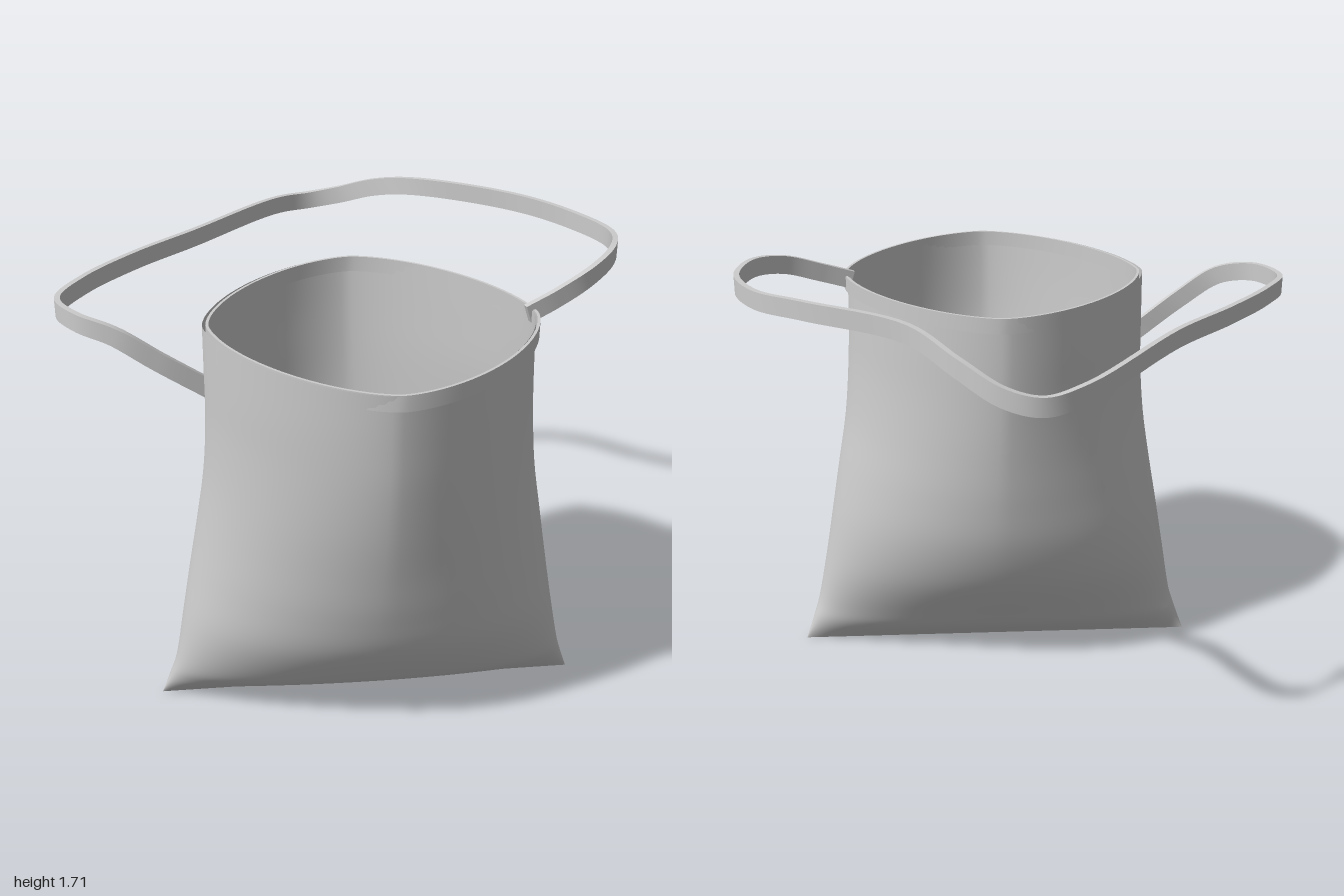
import * as THREE from 'three';
import { toCreasedNormals } from 'three/addons/utils/BufferGeometryUtils.js';

// Skin a list of closed cross-sections (arrays of Vector3, equal length)
function loft(rings, capped = false) {
  const n = rings[0].length;
  const index = [];
  for (let i = 0; i < rings.length - 1; i++) {
    for (let j = 0; j < n; j++) {
      const a = i * n + j, b = i * n + (j + 1) % n;
      index.push(a, a + n, b, b, a + n, b + n);
    }
  }
  if (capped) {
    const e = (rings.length - 1) * n;
    for (let j = 1; j < n - 1; j++) index.push(0, j, j + 1, e, e + j + 1, e + j);
  }
  const g = new THREE.BufferGeometry();
  g.setAttribute('position', new THREE.Float32BufferAttribute(
    rings.flat().flatMap((p) => [p.x, p.y, p.z]), 3));
  g.setIndex(index);
  g.computeVertexNormals();
  return g;
}

// Height, left and right edge, back and front edge, roundness of the section
const PROFILE = [
  [0.00, -0.73, 0.85, 0.30, 0.30, 2.4],
  [0.10, -0.695, 0.815, 0.185, 0.445, 2.3],
  [0.20, -0.665, 0.785, 0.11, 0.55, 2.2],
  [0.40, -0.63, 0.745, -0.02, 0.68, 2.0],
  [0.60, -0.595, 0.71, -0.10, 0.75, 1.85],
  [0.80, -0.56, 0.675, -0.138, 0.80, 1.75],
  [1.00, -0.53, 0.64, -0.16, 0.845, 1.68],
  [1.20, -0.515, 0.62, -0.177, 0.88, 1.62],
  [1.38, -0.512, 0.61, -0.19, 0.9, 1.6],
  [1.56, -0.51, 0.605, -0.2, 0.915, 1.58],
];
const spline = (pts) => new THREE.CatmullRomCurve3(pts, false, 'catmullrom', 0.5);
const sides = spline(PROFILE.map(([y, l, r]) => new THREE.Vector3(l, y, r)));
const depths = spline(PROFILE.map(([, , , b, f, n]) => new THREE.Vector3(b, n, f)));

// Superellipse section of the bag at t = 0 (bottom) to 1 (mouth)
function section(t, { scale = 1, shift = 0, y = null } = {}) {
  const s = sides.getPoint(t), d = depths.getPoint(t);
  const power = (v) => Math.sign(v) * Math.abs(v) ** (2 / d.y);
  const ring = [];
  const count = 96;
  for (let i = 0; i < count; i++) {
    const a = (i / count) * Math.PI * 2;
    const u = power(Math.cos(a)) * scale, v = power(Math.sin(a)) * scale;
    ring.push(new THREE.Vector3(
      (s.x + s.z) / 2 + u * (s.z - s.x) / 2 + shift,
      y ?? s.y,
      (d.x + d.z) / 2 + v * (d.z - d.x) / 2 + 0.03 * u));
  }
  return ring;
}

// Centre line of the strap, from the bag's left side round the back to its right
const STRAP = [
  [0.59, 1.545, 0.355], [0.70, 1.585, 0.325], [0.83, 1.635, 0.27], [0.935, 1.66, 0.16],
  [0.98, 1.655, 0], [0.905, 1.655, -0.19], [0.73, 1.67, -0.37], [0.4, 1.665, -0.61],
  [0.25, 1.61, -0.785], [0.12, 1.55, -0.885], [0, 1.525, -0.91], [-0.14, 1.535, -0.84],
  [-0.5, 1.565, -0.45], [-0.72, 1.57, -0.25], [-0.9, 1.57, -0.05], [-0.985, 1.565, 0.11],
  [-0.92, 1.565, 0.25], [-0.8, 1.535, 0.315], [-0.66, 1.44, 0.33], [-0.48, 1.31, 0.315],
];

// Flat band swept along the strap line, standing on edge
function strapGeometry(width, thickness) {
  const path = new THREE.CatmullRomCurve3(STRAP.map((p) => new THREE.Vector3(...p)), false, 'centripetal');
  const steps = 160;
  const rings = [];
  for (let i = 0; i <= steps; i++) {
    const p = path.getPoint(i / steps), dir = path.getTangent(i / steps);
    const side = new THREE.Vector3().crossVectors(dir, new THREE.Vector3(0, 1, 0)).normalize();
    const up = new THREE.Vector3().crossVectors(side, dir);
    rings.push([[1, 1], [-1, 1], [-1, -1], [1, -1]].map(([a, b]) => p.clone()
      .addScaledVector(side, a * thickness / 2).addScaledVector(up, b * width / 2)));
  }
  return toCreasedNormals(loft(rings, true), 0.7);
}

export function createModel() {
  const group = new THREE.Group();
  const cloth = new THREE.MeshStandardMaterial({ color: 0xcccccc, side: THREE.DoubleSide });
  cloth.name = 'greyCloth';
  const add = (name, geometry) => {
    const mesh = new THREE.Mesh(geometry, cloth);
    mesh.name = name;
    group.add(mesh);
  };

  // Open bag body, pinched to a straight seam at the bottom
  const rows = 48;
  add('bagBody', loft(Array.from({ length: rows + 1 }, (_, i) => section(i / rows))));

  // Hem round the mouth, sitting slightly to one side
  const hem = [[1.003, 1.505], [1.003, 1.562], [0.985, 1.562], [0.985, 1.505]]
    .map(([scale, y]) => section(1, { scale, y, shift: 0.013 }));
  add('mouthHem', toCreasedNormals(loft(hem), 0.7));

  // Carrying strap
  add('strap', strapGeometry(0.066, 0.02));
  return group;
}
